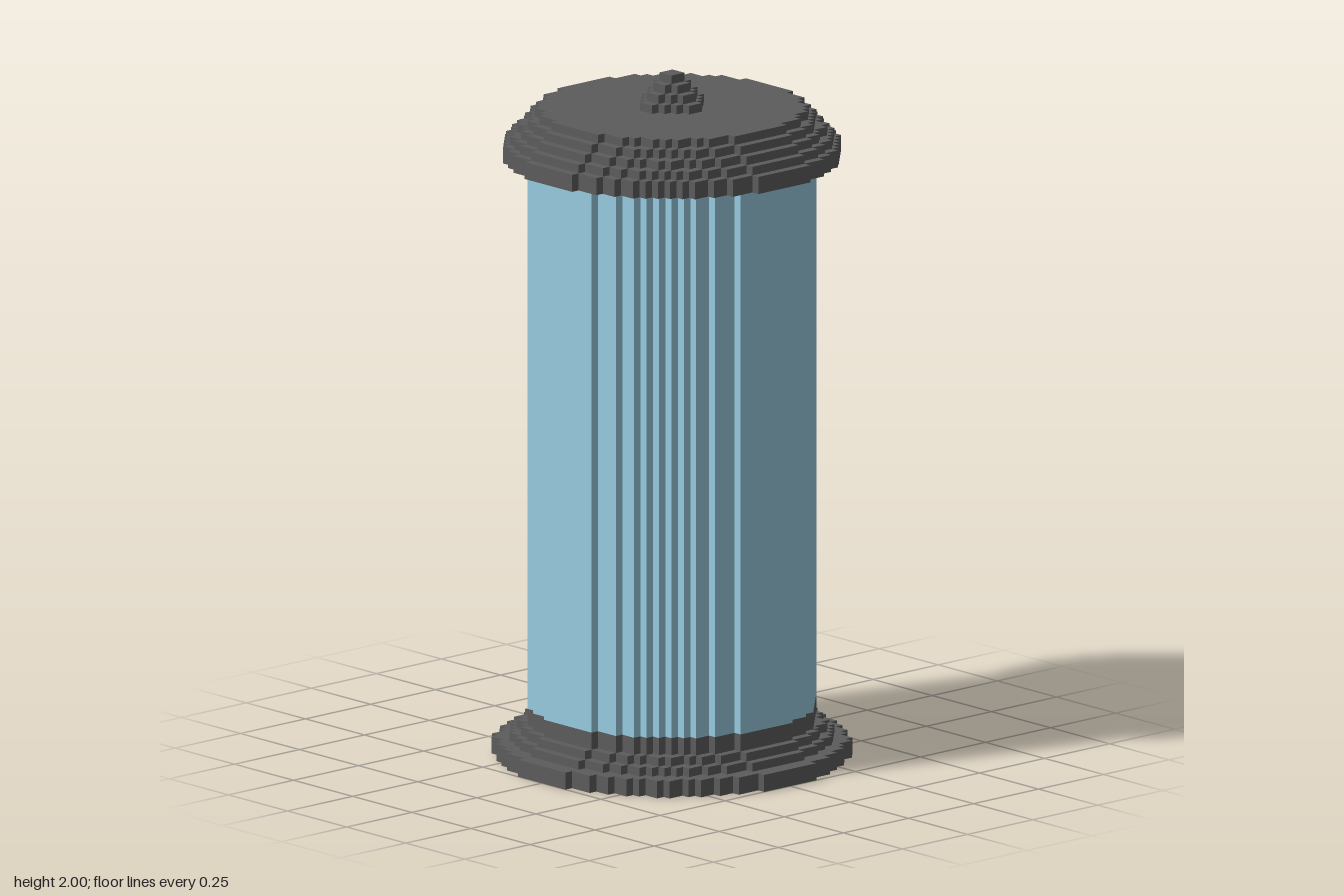
import * as THREE from 'three';
import { mergeGeometries } from 'three/addons/utils/BufferGeometryUtils.js';

const U = 0.025; // edge of one block

// Block tests for a stepped disc and a stepped diamond (i, j = block centres)
const disc = (limit) => (i, j) => i * i + j * j <= limit * limit;
const diamond = (limit) => (i, j) => i + j <= limit;

// Stair-stepped outline, one quadrant turned four times
function steppedShape(r, inside) {
  const quadrant = [];
  let previous = r;
  for (let row = 0; row < r; row++) {
    let width = 0;
    while (width < r && inside(width + 0.5, row + 0.5)) width++;
    if (width !== previous) {
      quadrant.push([previous, row], [width, row]);
      previous = width;
    }
  }
  quadrant.push([previous, r]);
  const points = [];
  for (let q = 0; q < 4; q++) {
    for (const [a, b] of quadrant) {
      const [x, y] = [[a, b], [-b, a], [-a, -b], [b, -a]][q];
      points.push(new THREE.Vector2(x * U, y * U));
    }
  }
  return new THREE.Shape(points);
}

// One horizontal slab from block level y0 to y1
function slab(r, y0, y1, inside = disc(r)) {
  const geometry = new THREE.ExtrudeGeometry(steppedShape(r, inside), {
    depth: (y1 - y0) * U, bevelEnabled: false,
  });
  return geometry.rotateX(-Math.PI / 2).translate(0, y0 * U, 0);
}

export function createModel() {
  const model = new THREE.Group();
  model.name = 'cylinderTank';
  const metal = new THREE.MeshStandardMaterial({ color: 0x5c5c5c });
  const glass = new THREE.MeshStandardMaterial({ color: 0x98cbdf });

  const add = (name, slabs, material) => {
    const mesh = new THREE.Mesh(mergeGeometries(slabs), material);
    mesh.name = name;
    model.add(mesh);
  };

  // Stepped foot
  add('base', [
    slab(20, 0, 2, disc(19.9)),
    slab(18, 2, 3),
    slab(17, 3, 4),
    slab(16, 4, 6),
  ], metal);

  // Tall body
  add('glassBody', [slab(16, 6, 70)], glass);

  // Lid with sloping steps
  const lid = [slab(19, 70, 72)];
  for (let k = 0; k < 4; k++) lid.push(slab(18 - k, 72 + k, 73 + k));
  add('lid', lid, metal);

  // Small pyramid knob
  const knob = [];
  for (let k = 0; k < 4; k++) knob.push(slab(4 - k, 76 + k, 77 + k, diamond(4 - k)));
  add('knob', knob, metal);

  return model;
}
